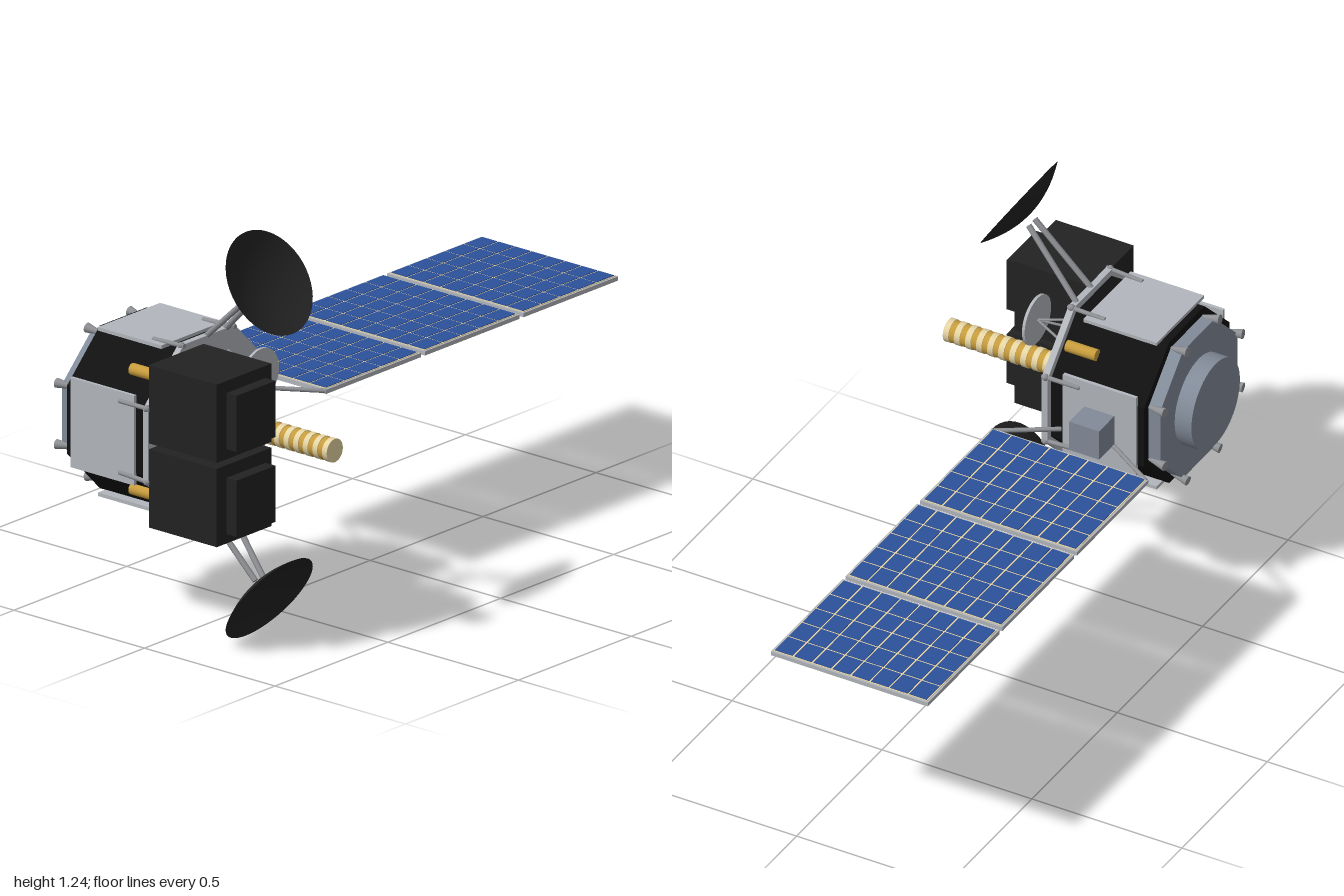
import * as THREE from 'three';
import { mergeGeometries } from 'three/addons/utils/BufferGeometryUtils.js';

const CX = -0.724, CY = 0.631; // axis of the octagonal body

function mat(name, color, side = THREE.FrontSide) {
  const m = new THREE.MeshStandardMaterial({ color, side });
  m.name = name;
  return m;
}

export function createModel() {
  const root = new THREE.Group();
  root.name = 'satellite';
  const M = {
    black: mat('black foil', 0x101010),
    charcoal: mat('charcoal', 0x222222, THREE.DoubleSide),
    silver: mat('silver', 0xb2b6bc),
    steel: mat('blue grey metal', 0x828b99),
    strut: mat('strut grey', 0x8e9094),
    blue: mat('solar blue', 0x2c509a),
    gold: mat('gold', 0xc79c3c),
    cream: mat('cream', 0xe6d5a4),
  };

  const add = (name, geo, material, x = 0, y = 0, z = 0, parent = root) => {
    const m = new THREE.Mesh(geo, material);
    m.name = name;
    m.position.set(x, y, z);
    parent.add(m);
    return m;
  };
  const box = (name, material, x0, x1, y0, y1, z0, z1, parent) =>
    add(name, new THREE.BoxGeometry(x1 - x0, y1 - y0, z1 - z0), material,
      (x0 + x1) / 2, (y0 + y1) / 2, (z0 + z1) / 2, parent);
  // cylinder along z; r1 is the radius at the z1 end
  const zCyl = (name, material, x, y, z0, z1, r0, r1 = r0, sides = 32, parent = root) =>
    add(name, new THREE.CylinderGeometry(r1, r0, z1 - z0, sides).rotateX(Math.PI / 2),
      material, x, y, (z0 + z1) / 2, parent);
  // flat-sided octagonal prism along z, sized by its half width
  const octagon = (name, material, half, z0, z1) => {
    const r = half / Math.cos(Math.PI / 8);
    const g = new THREE.CylinderGeometry(r, r, z1 - z0, 8).rotateY(Math.PI / 8)
      .rotateX(Math.PI / 2).toNonIndexed();
    g.computeVertexNormals();
    return add(name, g, material, CX, CY, (z0 + z1) / 2);
  };
  // round bar between two points
  const rod = (name, a, b, r, parent = root) => {
    const A = new THREE.Vector3(...a), B = new THREE.Vector3(...b);
    const d = B.clone().sub(A);
    const m = add(name, new THREE.CylinderGeometry(r, r, d.length(), 10), M.strut, 0, 0, 0, parent);
    m.position.copy(A).add(B).multiplyScalar(0.5);
    m.quaternion.setFromUnitVectors(new THREE.Vector3(0, 1, 0), d.normalize());
    return m;
  };

  // Octagonal body, front deck and rear bulkhead
  octagon('body', M.black, 0.25, -0.32, -0.01);
  octagon('frontDeck', M.silver, 0.271, -0.01, 0.01);
  octagon('rearBulkhead', M.steel, 0.225, -0.36, -0.32);
  zCyl('rearDrum', M.steel, CX, CY, -0.416, -0.36, 0.142, 0.142, 48);

  // Radiator panels on four sides, each with two brackets from the deck corners
  for (let i = 0; i < 4; i++) {
    const side = new THREE.Group();
    side.name = 'radiator';
    side.position.set(CX, CY, 0);
    side.rotation.z = i * Math.PI / 2;
    box('radiatorPanel', M.silver, 0.249, 0.26, -0.138, 0.138, -0.298, -0.054, side);
    for (const s of [-1, 1]) {
      rod('radiatorBracket', [0.266, s * 0.113, 0.012], [0.26, s * 0.11, -0.11], 0.007, side);
      add('deckKnob', new THREE.SphereGeometry(0.011, 12, 8), M.strut, 0.266, s * 0.113, 0, side);
    }
    root.add(side);
  }

  // Gold canisters on the diagonal faces
  for (const sx of [-1, 1]) for (const sy of [-1, 1]) {
    zCyl('goldCanister', M.gold, CX + sx * 0.184, CY + sy * 0.184, -0.126, -0.026, 0.018, 0.018, 16);
  }

  // Thruster nozzles around the rear bulkhead corners
  for (let i = 0; i < 8; i++) {
    const a = Math.PI / 8 + i * Math.PI / 4;
    const n = zCyl('thruster', M.strut, CX + Math.cos(a) * 0.243, CY + Math.sin(a) * 0.243,
      -0.378, -0.32, 0.015, 0.006, 12);
    n.rotation.set(Math.sin(a) * 0.15, -Math.cos(a) * 0.15, 0);
  }

  // Twin equipment boxes with raised covers
  for (const s of [-1, 1]) {
    const [a, b] = [CY + s * 0.009, CY + s * 0.25].sort((p, q) => p - q);
    box('equipmentBox', M.charcoal, -0.992, -0.75, a, b, 0.01, 0.27);
    const [c, d] = [CY + s * 0.044, CY + s * 0.217].sort((p, q) => p - q);
    box('boxCover', M.charcoal, -0.957, -0.785, c, d, 0.278, 0.316);
    zCyl('coverMount', M.charcoal, -0.871, (c + d) / 2, 0.27, 0.278, 0.03, 0.03, 12);
  }
  zCyl('sensorBarrel', M.charcoal, -0.757, CY, 0.01, 0.125, 0.045, 0.045, 24);

  // Banded rod antenna on a round base
  zCyl('antennaBase', M.silver, -0.668, CY, 0.01, 0.018, 0.086, 0.086, 40);
  const bands = 23, z0 = 0.018, step = (0.442 - z0) / bands;
  for (let i = 0; i < bands; i++) {
    const gold = i % 2;
    zCyl(gold ? 'goldBand' : 'creamBand', gold ? M.gold : M.cream, -0.668, CY,
      z0 + i * step, z0 + (i + 1) * step, gold ? 0.034 : 0.036, gold ? 0.034 : 0.036, 24);
  }

  // Small disc antenna on a tripod
  zCyl('discAntenna', M.silver, -0.642, 0.789, 0.13, 0.139, 0.078, 0.078, 40);
  for (let i = 0; i < 3; i++) {
    const a = Math.PI / 2 + i * Math.PI * 2 / 3;
    rod('discTripod', [-0.642, 0.789, 0.131],
      [-0.642 + Math.cos(a) * 0.055, 0.789 + Math.sin(a) * 0.045, 0.005], 0.004);
  }

  // Two dish antennas, above and below, each on a pair of struts
  const profile = [];
  for (let i = 0; i <= 10; i++) {
    const t = i / 10;
    profile.push(new THREE.Vector2(0.163 * t, -0.047 * (1 - t * t)));
  }
  for (const s of [-1, 1]) {
    const dish = add(s > 0 ? 'upperDish' : 'lowerDish', new THREE.LatheGeometry(profile, 48),
      M.charcoal, -0.726, CY + s * 0.485, 0.241);
    dish.rotation.x = Math.atan2(0.836, s * 0.55);
    rod('dishStrut', [-0.726, CY + s * 0.266, 0], [-0.726, CY + s * 0.444, 0.188], 0.009);
    rod('dishStrut', [-0.64, CY + s * 0.266, 0], [-0.69, CY + s * 0.444, 0.188], 0.009);
  }

  // Solar wing: drive box, yoke and three panels
  const wz = -0.176;
  box('wingDrive', M.steel, -0.465, -0.375, CY - 0.05, CY + 0.05, wz - 0.05, wz + 0.05);
  for (const s of [-1, 1]) {
    rod('wingYoke', [-0.396, 0.629, wz + s * 0.088], [-0.29, 0.629, wz + s * 0.257], 0.007);
  }
  const cols = 5, rows = 8, w = 0.42, d = 0.523;
  const cells = [];
  const cw = (w - 0.012) / cols, cd = (d - 0.012) / rows;
  for (let i = 0; i < cols; i++) for (let j = 0; j < rows; j++) {
    cells.push(new THREE.BoxGeometry(cw - 0.006, 0.002, cd - 0.006)
      .translate((i + 0.5 - cols / 2) * cw, 0, (j + 0.5 - rows / 2) * cd));
  }
  const cellGeo = mergeGeometries(cells);
  for (let i = 0; i < 3; i++) {
    const x = -0.084 + i * 0.437;
    box('solarPanel', M.silver, x - w / 2, x + w / 2, 0.621, 0.634, wz - d / 2, wz + d / 2);
    box('solarGrid', M.cream, x - w / 2 + 0.006, x + w / 2 - 0.006, 0.633, 0.636,
      wz - d / 2 + 0.006, wz + d / 2 - 0.006);
    add('solarCells', cellGeo, M.blue, x, 0.637, wz);
  }
  return root;
}
